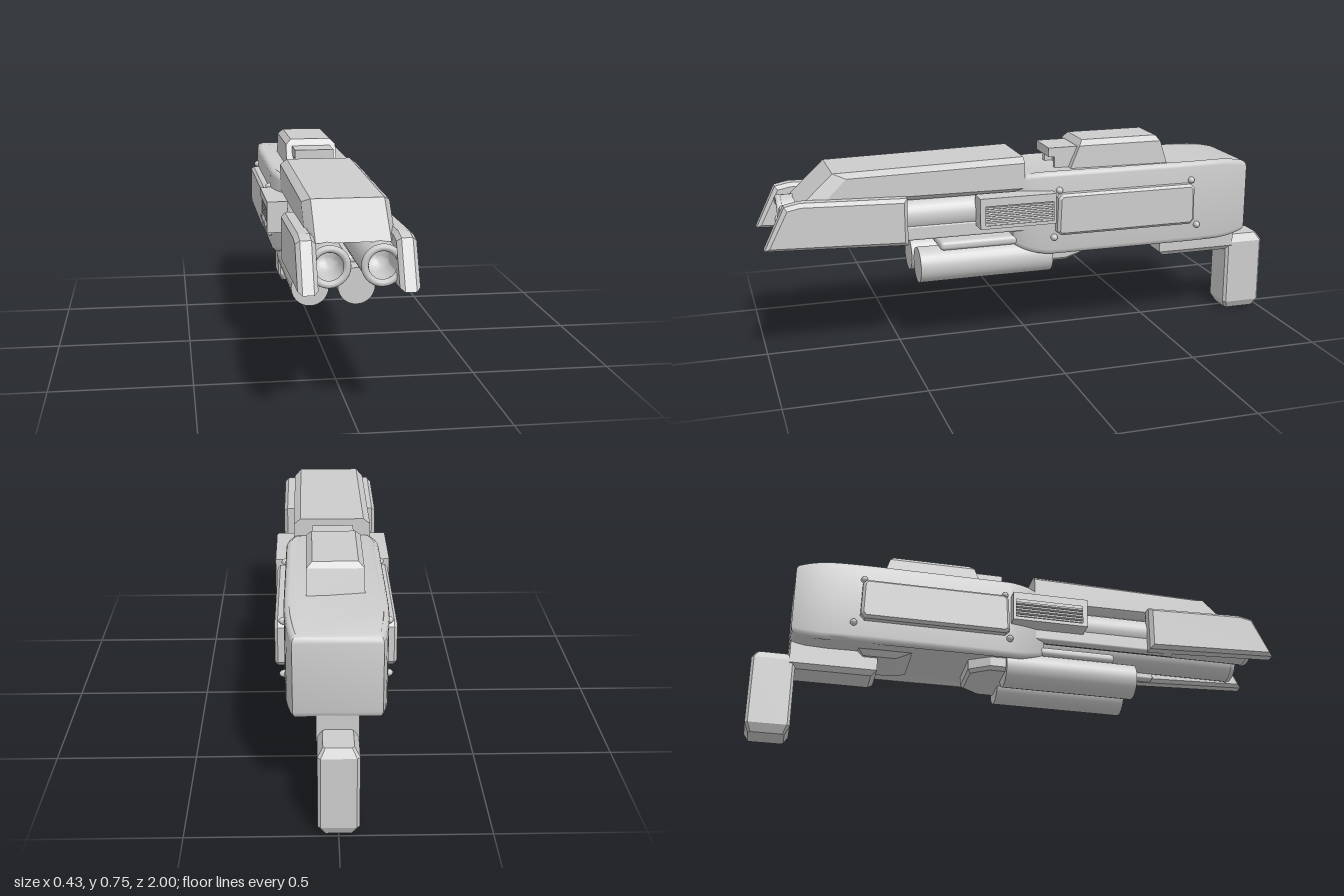
import * as THREE from 'three';
import { toCreasedNormals } from 'three/addons/utils/BufferGeometryUtils.js';
import { ConvexGeometry } from 'three/addons/geometries/ConvexGeometry.js';
import { RoundedBoxGeometry } from 'three/addons/geometries/RoundedBoxGeometry.js';

export function createModel() {
  const model = new THREE.Group();
  const metal = new THREE.MeshStandardMaterial({ color: 0xcccccc });
  metal.name = 'grey metal';

  const add = (name, geometry, x = 0, y = 0, z = 0) => {
    const mesh = new THREE.Mesh(geometry, metal);
    mesh.name = name;
    mesh.position.set(x, y, z);
    model.add(mesh);
    return mesh;
  };
  const addPair = (name, geometry, x, y = 0, z = 0) => {
    add(name + 'Left', geometry, x, y, z);
    add(name + 'Right', geometry, -x, y, z);
  };
  const box = (w, h, d) => new THREE.BoxGeometry(w, h, d);

  // Faceted solid from corner points, mirrored across x
  const hull = (points) => new ConvexGeometry(points.flatMap(([x, y, z]) =>
    [new THREE.Vector3(x, y, z), new THREE.Vector3(-x, y, z)]));

  // Plate drawn as a [z, y] profile, centred on x = 0
  const toPoints = (pts) => pts.map(([z, y]) => new THREE.Vector2(-z, y));
  const plate = (pts, width, bevel, hole) => {
    const shape = new THREE.Shape(toPoints(pts));
    if (hole) shape.holes.push(new THREE.Path(toPoints(hole)));
    const depth = width - 2 * bevel;
    const g = new THREE.ExtrudeGeometry(shape, {
      depth, bevelEnabled: bevel > 0, bevelSize: bevel, bevelThickness: bevel,
      bevelOffset: -bevel, bevelSegments: 1,
    });
    return g.translate(0, 0, -depth / 2).rotateY(Math.PI / 2);
  };
  const rect = (z0, z1, y0, y1) => [[z0, y0], [z1, y0], [z1, y1], [z0, y1]];

  // Main body: rounded plan outline, bevelled, with ends drawn in
  const plan = new THREE.Shape();
  plan.moveTo(-0.12, -0.08);
  plan.lineTo(0.12, -0.08);
  plan.quadraticCurveTo(0.155, -0.05, 0.172, 0.06);
  plan.lineTo(0.174, 0.58);
  plan.quadraticCurveTo(0.174, 0.78, 0.145, 0.87);
  plan.lineTo(-0.145, 0.87);
  plan.quadraticCurveTo(-0.174, 0.78, -0.174, 0.58);
  plan.lineTo(-0.172, 0.06);
  plan.quadraticCurveTo(-0.155, -0.05, -0.12, -0.08);
  const body = new THREE.ExtrudeGeometry(plan, {
    depth: 0.28, bevelSize: 0.018, bevelThickness: 0.02, bevelOffset: -0.018,
    bevelSegments: 3, curveSegments: 10,
  });
  body.rotateX(-Math.PI / 2).translate(0, 0.36, 0);
  const p = body.attributes.position;
  for (let i = 0; i < p.count; i++) {
    const z = p.getZ(i), y = p.getY(i);
    const t = THREE.MathUtils.clamp((Math.abs(z + 0.395) - 0.33) / 0.145, 0, 1);
    p.setY(i, y + (y > 0.5 ? -0.02 : z > -0.4 ? 0.035 : 0.02) * t * t);
  }
  add('body', toCreasedNormals(body, 0.6));

  // Raised housing and small sight on top
  add('topHousing', hull([
    [0.1, 0.64, -0.15], [0.1, 0.64, -0.55], [0.098, 0.735, -0.19], [0.098, 0.735, -0.52],
    [0.078, 0.755, -0.205], [0.078, 0.755, -0.505],
  ]));
  add('sightPlate', box(0.15, 0.035, 0.13), 0, 0.7125, -0.14);
  add('sightBase', box(0.1, 0.07, 0.07), 0, 0.67, -0.165);
  addPair('sightLeg', box(0.02, 0.06, 0.09), 0.062, 0.675, -0.145);

  // Faceted cover above the barrels
  add('barrelCover', hull([
    [0.12, 0.715, 0.04], [0.145, 0.695, 0.04], [0.145, 0.6, 0.04], [0.12, 0.583, 0.04],
    [0.12, 0.7, 0.745], [0.145, 0.683, 0.7], [0.145, 0.605, 0.78], [0.12, 0.583, 0.87],
  ]));

  // Twin upper barrels with a rounded muzzle rim and a bowl-shaped bore end
  const profile = [[0.066, 0], [0.066, 0.92], [0.048, 0.92], [0.048, 0.81]];
  for (let i = 1; i <= 6; i++) {
    const a = (i / 6) * Math.PI / 2;
    profile.push([0.048 * Math.cos(a), 0.81 - 0.045 * Math.sin(a)]);
  }
  const barrel = new THREE.LatheGeometry(profile.map(([r, h]) => new THREE.Vector2(r, h)), 28);
  barrel.rotateX(Math.PI / 2);
  addPair('barrel', toCreasedNormals(barrel, 0.7), 0.084, 0.52);
  addPair('muzzleRim', new THREE.TorusGeometry(0.057, 0.012, 10, 28), 0.084, 0.52, 0.92);
  addPair('barrelRail', new RoundedBoxGeometry(0.04, 0.055, 0.58, 2, 0.008), 0.125, 0.463, 0.31);

  // Slanted guard plates beside the muzzles
  addPair('muzzleGuard', plate(
    [[0.49, 0.43], [1, 0.452], [0.925, 0.606], [0.87, 0.617], [0.49, 0.605]], 0.064, 0.014), 0.158);

  // Side vents: open frame, back plate and slats
  addPair('ventFrame', plate(rect(-0.06, 0.23, 0.475, 0.59), 0.075, 0,
    rect(-0.05, 0.21, 0.488, 0.56)), 0.176);
  addPair('ventBack', box(0.04, 0.1, 0.28), 0.165, 0.53, 0.085);
  for (let i = 0; i < 5; i++) {
    addPair('ventSlat' + (i + 1), box(0.025, 0.007, 0.265), 0.194, 0.497 + i * 0.0135, 0.08);
  }

  // Side panels and rivets
  addPair('sidePanel', plate([
    [-0.085, 0.422], [-0.07, 0.435], [-0.075, 0.565], [-0.09, 0.58],
    [-0.61, 0.58], [-0.625, 0.565], [-0.628, 0.44], [-0.612, 0.422],
  ], 0.07, 0.01), 0.17);
  const rivet = new THREE.SphereGeometry(0.013, 12, 8).scale(1.4, 1, 1);
  [[-0.085, 0.59], [-0.62, 0.59], [-0.65, 0.41], [-0.065, 0.41]].forEach(([z, y], i) =>
    addPair('rivet' + (i + 1), rivet, 0.173, y, z));

  // Lower tubes, their mount and the rear bracket
  const tube = new THREE.CylinderGeometry(0.067, 0.067, 0.51, 28).rotateX(Math.PI / 2);
  addPair('lowerTube', tube, 0.083, 0.322, 0.185);
  add('tubeMount', new RoundedBoxGeometry(0.26, 0.035, 0.42, 3, 0.015), 0, 0.397, 0.15);
  add('tubeBracket', hull([
    [0.13, 0.35, -0.05], [0.13, 0.312, -0.05], [0.115, 0.3, -0.05], [0.13, 0.35, -0.13],
    [0.13, 0.312, -0.13], [0.115, 0.3, -0.13], [0.08, 0.35, -0.205], [0.08, 0.312, -0.205],
    [0.07, 0.3, -0.195],
  ]));

  // Rear underside block with its ramp
  add('rearBlock', hull([
    [0.07, 0.38, -0.545], [0.07, 0.275, -0.545], [0.055, 0.257, -0.565],
    [0.07, 0.38, -0.865], [0.07, 0.275, -0.865], [0.055, 0.257, -0.865],
  ]));
  add('rearRamp', hull([
    [0.1, 0.345, -0.42], [0.08, 0.325, -0.48], [0.1, 0.345, -0.62], [0.08, 0.325, -0.6],
  ]));

  // Grip: bevelled vertical block
  const ring = (w, z0, z1, y, c) => [
    [w, y, z0 + c], [w - c, y, z0], [w, y, z1 - c], [w - c, y, z1]];
  add('grip', hull([
    ...ring(0.05, -0.985, -0.858, 0, 0.008), ...ring(0.068, -1, -0.842, 0.03, 0.01),
    ...ring(0.068, -1, -0.842, 0.285, 0.01), ...ring(0.05, -0.982, -0.865, 0.315, 0.008),
  ]));

  return model;
}
